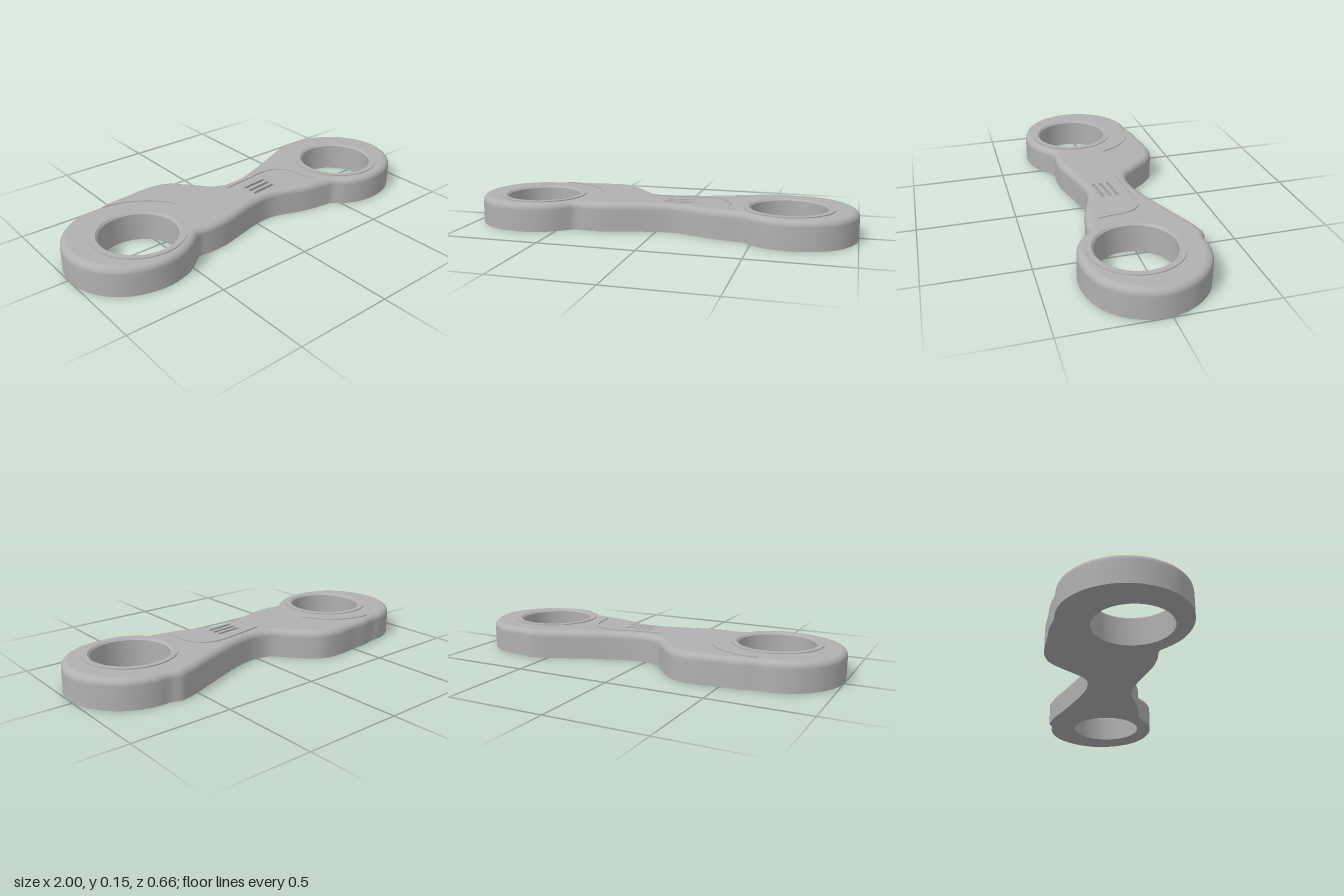
import * as THREE from 'three';
import { toCreasedNormals } from 'three/addons/utils/BufferGeometryUtils.js';

const TOP = 0.147, HOLE = 0.19, HOLE_Z = 0.057, FLOOR = 0.01;

// Plan outline in x,z, running left, back, right, front
const OUTLINE = [
  -1, 0.02, -0.985, -0.08, -0.93, -0.18, -0.85, -0.25, -0.76, -0.285, -0.68, -0.292, -0.6, -0.31, -0.5, -0.318,
  -0.42, -0.328, -0.32, -0.328, -0.25, -0.305, -0.19, -0.25, -0.13, -0.18, -0.08, -0.125, -0.03, -0.103, 0.04, -0.1,
  0.12, -0.115, 0.25, -0.16, 0.4, -0.22, 0.5, -0.262, 0.56, -0.28, 0.6, -0.289, 0.65, -0.274, 0.72, -0.273,
  0.8, -0.255, 0.88, -0.21, 0.95, -0.13, 0.99, -0.04, 1, 0.03, 0.985, 0.12, 0.93, 0.22, 0.85, 0.285,
  0.76, 0.317, 0.67, 0.325, 0.58, 0.31, 0.51, 0.275, 0.46, 0.232, 0.42, 0.225, 0.3, 0.205, 0.2, 0.172,
  0.12, 0.147, 0.06, 0.142, -0.03, 0.155, -0.15, 0.185, -0.25, 0.21, -0.34, 0.216, -0.42, 0.213, -0.45, 0.235,
  -0.51, 0.28, -0.58, 0.31, -0.67, 0.325, -0.76, 0.315, -0.86, 0.275, -0.94, 0.2, -0.985, 0.11,
];

const v2 = (x, z) => new THREE.Vector2(x, z);

function smoothPath(flat, closed, count) {
  const pts = [];
  for (let i = 0; i < flat.length; i += 2) pts.push(new THREE.Vector3(flat[i], 0, flat[i + 1]));
  const out = new THREE.CatmullRomCurve3(pts, closed, 'centripetal').getSpacedPoints(count).map((p) => v2(p.x, p.z));
  if (closed) out.pop();
  return out;
}

function circle(x, z, r, n = 64) {
  return Array.from({ length: n }, (_, i) => {
    const a = (i / n) * Math.PI * 2;
    return v2(x + r * Math.cos(a), z + r * Math.sin(a));
  });
}

// Closed loop moved inwards by d
function inset(loop, d) {
  const n = loop.length;
  return loop.map((p, i) => {
    const t = loop[(i + 2) % n].clone().sub(loop[(i + n - 2) % n]).normalize();
    return v2(p.x - t.y * d, p.y + t.x * d);
  });
}

// Wall through stacked loops, each { pts, y }, bottom to top
function loft(rings) {
  const n = rings[0].pts.length, pos = [], index = [];
  rings.forEach(({ pts, y }) => pts.forEach((p) => pos.push(p.x, y, p.y)));
  for (let r = 0; r < rings.length - 1; r++) {
    for (let i = 0; i < n; i++) {
      const a = r * n + i, b = r * n + ((i + 1) % n);
      index.push(a, a + n, b, b, a + n, b + n);
    }
  }
  const g = new THREE.BufferGeometry();
  g.setAttribute('position', new THREE.Float32BufferAttribute(pos, 3));
  g.setIndex(index);
  g.computeVertexNormals();
  return g;
}

function flatShape(pts, holes, sign) {
  const map = (list) => list.map((p) => v2(p.x, p.y * sign));
  const shape = new THREE.Shape(map(pts));
  holes.forEach((h) => shape.holes.push(new THREE.Path(map(h))));
  return shape;
}

// Flat horizontal face looking up or down
function face(pts, holes, y, up) {
  const s = up ? -1 : 1;
  return new THREE.ShapeGeometry(flatShape(pts, holes, s)).rotateX((s * Math.PI) / 2).translate(0, y, 0);
}

// Thin raised line, tapered at both ends
function ridge(path, width) {
  const n = path.length - 1, a = [], b = [];
  path.forEach((p, i) => {
    const t = path[Math.min(i + 1, n)].clone().sub(path[Math.max(i - 1, 0)]).normalize();
    const w = width * 0.5 * (0.12 + 0.88 * Math.sin((Math.PI * i) / n));
    a.push(v2(p.x - t.y * w, p.y + t.x * w));
    b.unshift(v2(p.x + t.y * w, p.y - t.x * w));
  });
  return new THREE.ExtrudeGeometry(flatShape([...a, ...b], [], -1), { depth: 0.006, bevelEnabled: false })
    .rotateX(-Math.PI / 2).translate(0, TOP - 0.001, 0);
}

// Rounded slot outline between two points
function slotLoop(x0, z0, x1, z1, r) {
  const dir = Math.atan2(z1 - z0, x1 - x0), pts = [];
  for (const [x, z, start] of [[x1, z1, dir - Math.PI / 2], [x0, z0, dir + Math.PI / 2]]) {
    for (let i = 0; i <= 8; i++) {
      const a = start + (i / 8) * Math.PI;
      pts.push(v2(x + r * Math.cos(a), z + r * Math.sin(a)));
    }
  }
  return pts;
}

export function createModel() {
  const group = new THREE.Group();
  const grey = new THREE.MeshStandardMaterial({ color: 0xb0b0b0 });
  grey.name = 'grey';
  const add = (name, geometry) => {
    const mesh = new THREE.Mesh(geometry, grey);
    mesh.name = name;
    group.add(mesh);
    return mesh;
  };

  const outline = smoothPath(OUTLINE, true, 260);
  const holeXs = [-0.653, 0.66];
  const slots = [0, 1, 2].map((i) => slotLoop(0.034, 0.017 + i * 0.037, 0.166, 0.003 + i * 0.037, 0.009));

  // Outer wall with a rounded upper edge
  const rings = [{ pts: outline, y: 0 }, { pts: outline, y: 0.06 }];
  const R = 0.033;
  for (let i = 0; i <= 6; i++) {
    const a = (i / 6) * Math.PI / 2;
    rings.push({ pts: inset(outline, R * (1 - Math.cos(a))), y: TOP - R + R * Math.sin(a) });
  }
  add('outerWall', loft(rings));

  // Top and bottom faces
  const topHoles = holeXs.map((x) => circle(x, HOLE_Z, 0.21));
  add('topFace', face(rings[rings.length - 1].pts, [...topHoles, ...slots], TOP, true));
  add('bottomFace', face(outline, holeXs.map((x) => circle(x, HOLE_Z, HOLE)), 0, false));

  // Hole linings with raised, chamfered collars
  const collar = [[0.228, 0.144], [0.228, 0.152], [0.2, 0.152], [0.19, 0.142], [0.19, 0]].map(([r, y]) => v2(r, y));
  holeXs.forEach((x, i) => {
    const g = toCreasedNormals(new THREE.LatheGeometry(collar, 64), 0.5);
    add(i ? 'rightHoleCollar' : 'leftHoleCollar', g).position.set(x, 0, HOLE_Z);
  });

  // Grip slots cut into the waist
  slots.forEach((loop, i) => {
    const inward = [...loop].reverse();
    add(`gripSlotWall${i + 1}`, loft([{ pts: inward, y: FLOOR }, { pts: inward, y: TOP }]));
    add(`gripSlotFloor${i + 1}`, face(loop, [], FLOOR, true));
  });

  // Raised decorative lines
  const arc = [];
  for (let i = 0; i <= 8; i++) {
    const a = THREE.MathUtils.degToRad(-91 + i * 8.6);
    arc.push(holeXs[0] + 0.322 * Math.cos(a), HOLE_Z + 0.322 * Math.sin(a));
  }
  add('arcRidge', ridge(smoothPath(arc, false, 32), 0.02));
  const sweep = [-0.05, -0.04, 0.1, -0.06, 0.23, -0.075, 0.32, -0.045, 0.36, 0.03, 0.365, 0.09, 0.38, 0.16];
  add('sweepRidge', ridge(smoothPath(sweep, false, 48), 0.02));

  return group;
}
